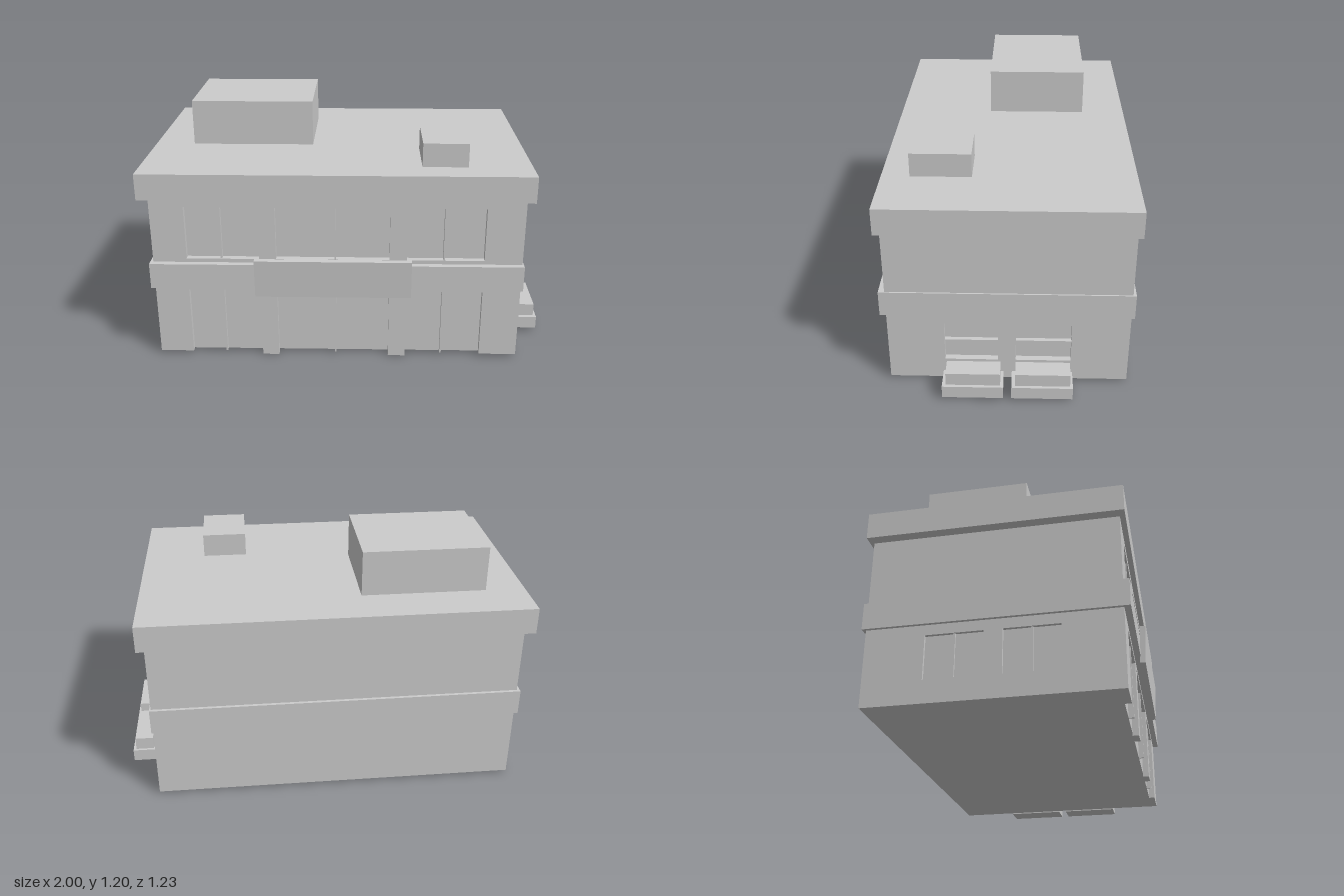
import * as THREE from 'three';

const mat = new THREE.MeshStandardMaterial({ color: 0xcccccc, flatShading: true });

// Box given by its extents on each axis
function block(parent, name, [x0, x1], [y0, y1], [z0, z1]) {
  const mesh = new THREE.Mesh(new THREE.BoxGeometry(x1 - x0, y1 - y0, z1 - z0), mat);
  mesh.position.set((x0 + x1) / 2, (y0 + y1) / 2, (z0 + z1) / 2);
  mesh.name = name;
  parent.add(mesh);
  return mesh;
}

// Wall panel: notches are cut up from the floor, holes are closed openings
function panel(name, u, v, depth, notches, holes) {
  const outline = [[u[0], v[0]]];
  for (const [a, b, top] of notches) outline.push([a, v[0]], [a, top], [b, top], [b, v[0]]);
  outline.push([u[1], v[0]], [u[1], v[1]], [u[0], v[1]]);
  const shape = new THREE.Shape(outline.map(([x, y]) => new THREE.Vector2(x, y)));
  for (const [a, b, c, d] of holes) {
    shape.holes.push(new THREE.Path(
      [[a, c], [a, d], [b, d], [b, c]].map(([x, y]) => new THREE.Vector2(x, y))));
  }
  const mesh = new THREE.Mesh(new THREE.ExtrudeGeometry(shape, { depth, bevelEnabled: false }), mat);
  mesh.name = name;
  return mesh;
}

export function createModel() {
  const model = new THREE.Group();
  model.name = 'building';
  const floor = 0.015, top = 0.9;

  // Inner core: its faces serve as the recessed window panes
  block(model, 'core', [-0.935, 0.82], [floor, top], [-0.595, 0.525]);

  // Front wall with shopfront openings below and windows above: left, right, mullion
  const bays = [[-0.785, -0.43, -0.615], [-0.348, 0.205, -0.06], [0.29, 0.665, 0.47]];
  const front = panel('frontWall', [-0.95, 0.85], [floor, top], 0.03,
    bays.map(([a, b]) => [a, b, 0.365]),
    bays.map(([a, b]) => [a, b, 0.535, 0.805]));
  front.position.z = 0.525;
  model.add(front);
  for (const [, , m] of bays) {
    block(model, 'shopMullion', [m - 0.004, m + 0.004], [floor, 0.365], [0.52, 0.55]);
    block(model, 'windowMullion', [m - 0.004, m + 0.004], [0.535, 0.805], [0.52, 0.55]);
  }

  // Piers between the shopfronts
  for (const [a, b] of [[-0.43, -0.348], [0.205, 0.29]]) {
    block(model, 'pierFoot', [a, b], [0, 0.02], [0.525, 0.555]);
  }

  // Side walls, each with two windows
  const sideBays = [[-0.32, -0.055], [0.03, 0.285]];
  const y0 = 0.125, y1 = 0.337;
  const right = panel('rightSideWall', [-0.525, 0.595], [floor, top], 0.03, [],
    sideBays.map(([a, b]) => [-b, -a, y0, y1]));
  right.rotation.y = Math.PI / 2;
  right.position.x = 0.82;
  const left = panel('leftSideWall', [-0.595, 0.525], [floor, top], 0.015, [],
    sideBays.map(([a, b]) => [a, b, y0, y1]));
  left.rotation.y = -Math.PI / 2;
  left.position.x = -0.935;
  model.add(right, left);
  for (const [a, b] of sideBays) {
    const m = (a + b) / 2;
    block(model, 'sideTransom', [0.815, 0.84], [0.227, 0.235], [a, b]);
    block(model, 'sideMullion', [-0.945, -0.93], [y0, y1], [m - 0.005, m + 0.005]);
  }

  // Belt course and roof slab
  block(model, 'beltCourse', [-0.965, 0.857], [0.387, 0.516], [-0.61, 0.584]);
  block(model, 'roofSlab', [-1, 0.887], [0.846, 0.977], [-0.614, 0.58]);

  // Rooftop boxes
  block(model, 'roofHouse', [-0.803, -0.188], [0.97, 1.204], [-0.393, 0.1]);
  block(model, 'roofUnit', [0.357, 0.578], [0.97, 1.094], [0.156, 0.446]);

  // Sign board leaning slightly forward
  const sign = block(model, 'signBoard', [-0.45, 0.311], [0.356, 0.55], [0.584, 0.61]);
  sign.rotation.x = 0.045;

  // Planters standing along the side
  for (const [a, b] of [[0.003, 0.291], [-0.327, -0.037]]) {
    block(model, 'planterBox', [0.882, 1], [0.018, 0.082], [a, b]);
    block(model, 'planterHedge', [0.893, 0.985], [0.08, 0.148], [a + 0.013, b - 0.018]);
  }
  return model;
}
